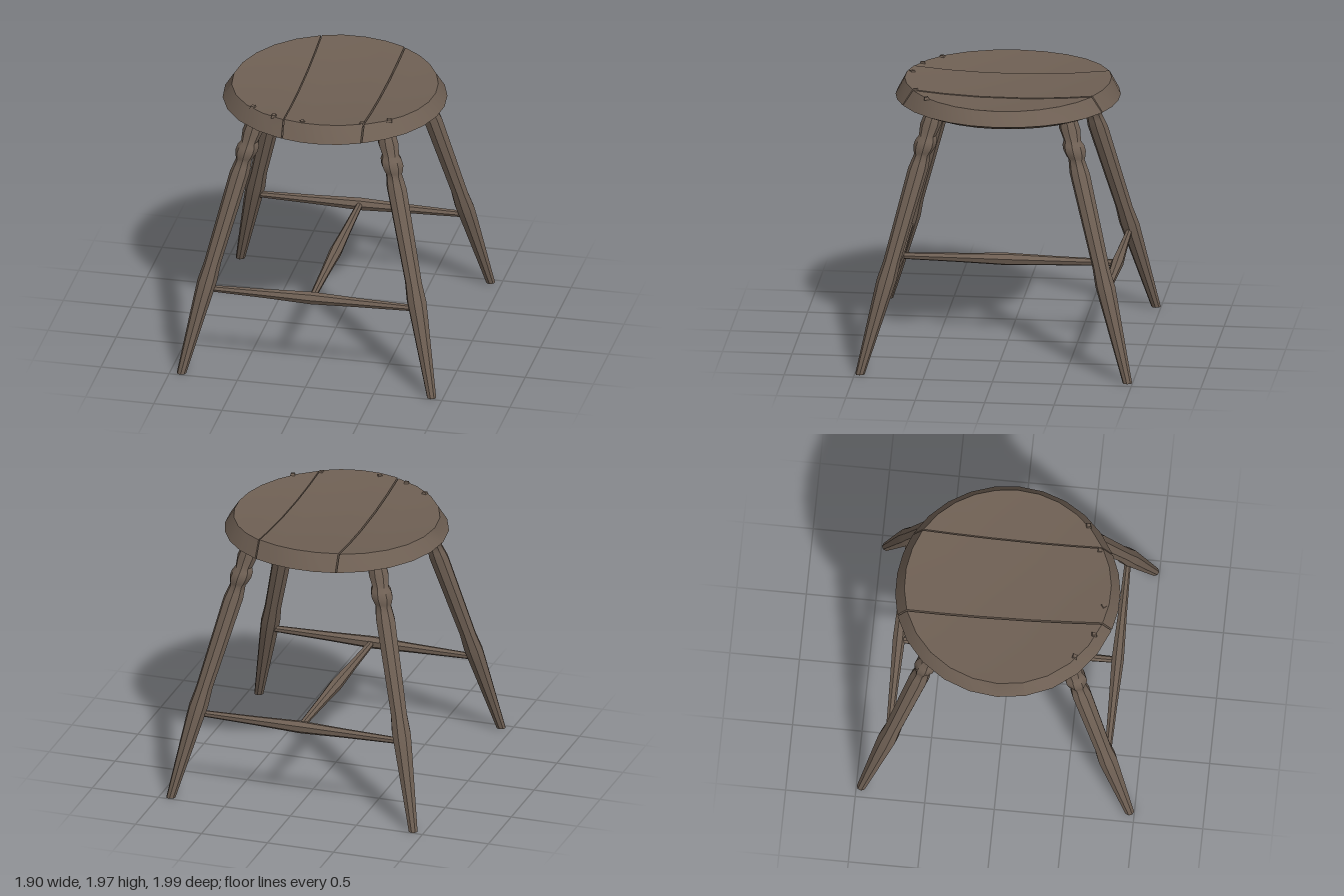
import * as THREE from 'three';
import { toCreasedNormals } from 'three/addons/utils/BufferGeometryUtils.js';

const wood = new THREE.MeshStandardMaterial({ color: 0x6f6054 });
wood.name = 'weathered brown wood';

function add(group, name, geometry, crease = 0.6) {
  const mesh = new THREE.Mesh(crease ? toCreasedNormals(geometry, crease) : geometry, wood);
  mesh.name = name;
  group.add(mesh);
  return mesh;
}

// Lathe from [radius, height] pairs
function turned(profile, sides) {
  return new THREE.LatheGeometry(profile.map(([r, y]) => new THREE.Vector2(r, y)), sides);
}

// Height of the gently dished seat top
function seatTop(x, z) {
  const d = Math.min(1, (x * x + z * z) / (0.74 * 0.74));
  return 1.945 + 0.02 * (z / 0.74) ** 2 - 0.025 * (1 - d);
}

// One plank of the round seat between two slightly skewed cuts, lofted along x
function plank(xa, xb, skewA, skewB, n, lift) {
  const section = [ // radius of the ring, fraction of its depth, height (null = dished top)
    [0.7, 1, 1.8], [0.805, 1, 1.845], [0.74, 1, null], [0.74, 0.65, null], [0.74, 0.25, null],
    [0.74, -0.25, null], [0.74, -0.65, null], [0.74, -1, null], [0.805, -1, 1.845], [0.7, -1, 1.8],
  ];
  const m = section.length, pos = [], idx = [];
  for (let i = 0; i <= n; i++) {
    const t = i / n;
    for (const [r, f, y] of section) {
      const a = Math.acos(Math.max(-1, xa / r)), b = Math.acos(Math.min(1, xb / r));
      const phi = a + (b - a) * t;
      const x = r * Math.cos(phi), z = r * Math.sin(phi) * f;
      pos.push(x + (skewA + (skewB - skewA) * t) * z - 0.008, y ?? seatTop(x, z) + lift, z);
    }
  }
  for (let i = 0; i < n; i++) {
    for (let j = 0; j < m; j++) {
      const a = i * m + j, d = i * m + (j + 1) % m;
      idx.push(a, a + m, d, a + m, d + m, d);
    }
  }
  // cut faces
  for (let j = 1; j < m - 1; j++) {
    idx.push(0, j, j + 1, n * m, n * m + j + 1, n * m + j);
  }
  const g = new THREE.BufferGeometry();
  g.setAttribute('position', new THREE.Float32BufferAttribute(pos, 3));
  g.setIndex(idx);
  return g;
}

// Turned leg, sheared outwards so that the foot stays flat
function leg(sx, sz) {
  const g = turned([
    [0, 0], [0.034, 0], [0.066, 0.56], [0.072, 0.67], [0.062, 0.8], [0.073, 1.45],
    [0.066, 1.5], [0.058, 1.55], [0.068, 1.57], [0.081, 1.61], [0.078, 1.65], [0.062, 1.68],
    [0.076, 1.76], [0.068, 1.83], [0, 1.83],
  ], 8);
  const p = g.attributes.position;
  for (let i = 0; i < p.count; i++) {
    const y = p.getY(i), t = y / 1.82;
    const bow = 0.012 * Math.sin(Math.PI * t);
    p.setX(i, p.getX(i) + sx * (0.917 - 0.437 * t + bow));
    p.setZ(i, p.getZ(i) + sz * (0.963 - 0.478 * t));
  }
  return g;
}

// Spindle that swells in the middle
function stretcher(half) {
  return turned([
    [0, -half], [0.024, -half], [0.034, -half * 0.45], [0.046, 0],
    [0.034, half * 0.45], [0.024, half], [0, half],
  ], 7);
}

export function createModel() {
  const model = new THREE.Group();
  model.name = 'stool';

  // Seat of three planks with narrow gaps
  const seat = new THREE.Group();
  seat.name = 'seat';
  add(seat, 'rightPlank', plank(-0.81, -0.242, 0, 0.026, 5, 0));
  add(seat, 'middlePlank', plank(-0.232, 0.356, 0.026, -0.01, 4, 0.004));
  add(seat, 'leftPlank', plank(0.366, 0.81, -0.01, 0, 5, 0));

  // Small square pegs along the front edge
  for (const [x, z] of [[-0.49, 0.53], [-0.31, 0.65], [-0.09, 0.7], [0.33, 0.63], [0.51, 0.53]]) {
    const peg = add(seat, 'peg', new THREE.CylinderGeometry(0.018, 0.028, 0.02, 4), 0.3);
    peg.position.set(x, seatTop(x, z) + 0.002, z);
    peg.rotation.set(0.1, x * 2, 0);
  }
  model.add(seat);

  // Four splayed legs
  for (const sx of [-1, 1]) {
    for (const sz of [-1, 1]) {
      add(model, `${sz > 0 ? 'front' : 'back'}${sx > 0 ? 'Left' : 'Right'}Leg`, leg(sx, sz));
    }
  }

  // Front and back stretchers joined by a cross stretcher
  for (const sz of [-1, 1]) {
    const rail = add(model, sz > 0 ? 'frontStretcher' : 'backStretcher', stretcher(0.73));
    rail.rotation.z = Math.PI / 2;
    rail.position.set(0, 0.608, sz * 0.787);
  }
  const cross = add(model, 'crossStretcher', stretcher(0.77));
  cross.rotation.x = Math.PI / 2;
  cross.position.set(0, 0.608, 0);

  return model;
}
